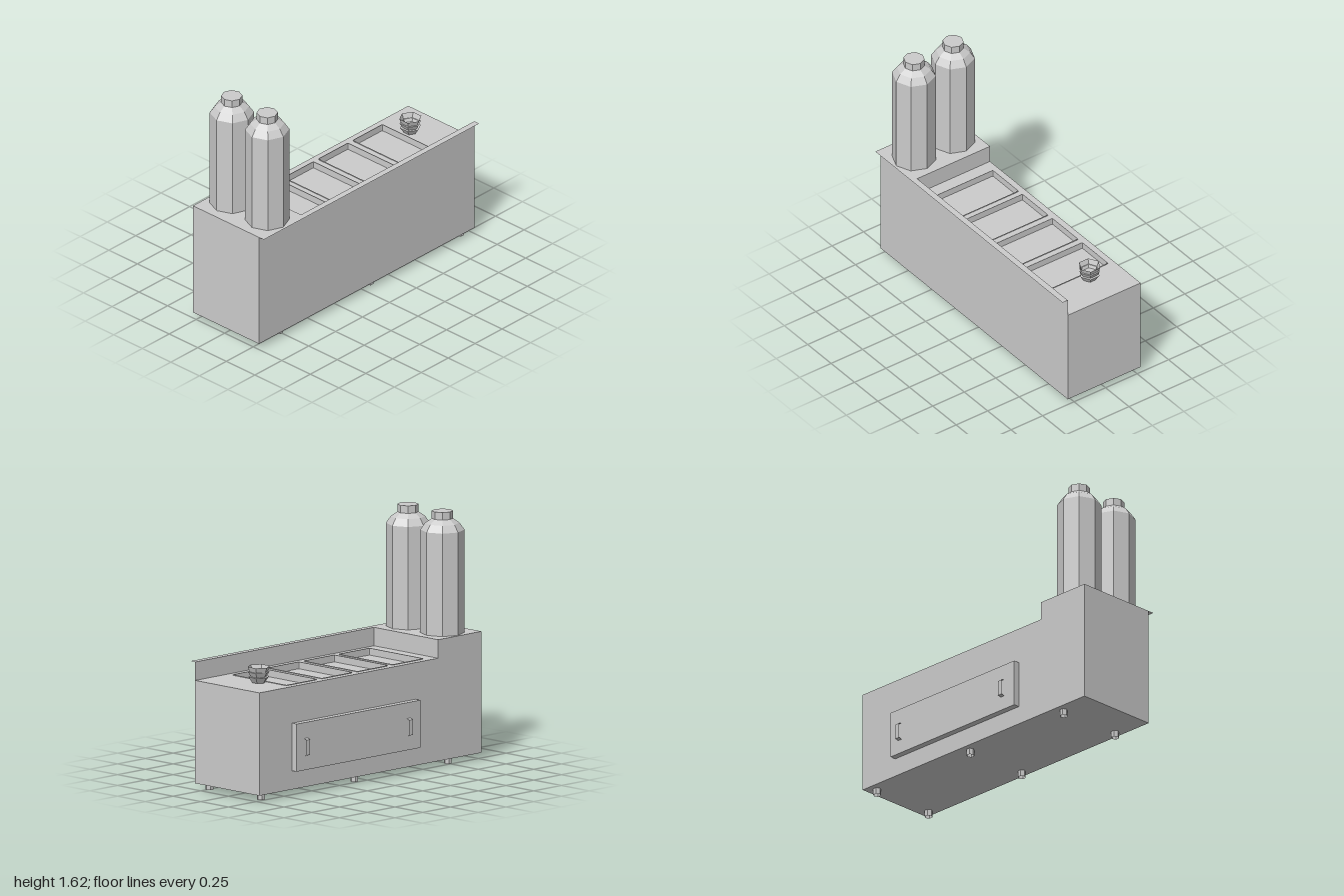
import * as THREE from 'three';

const solid = new THREE.MeshStandardMaterial({ color: 0xcccccc, flatShading: true });
const thin = new THREE.MeshStandardMaterial({ color: 0xcccccc, flatShading: true, side: THREE.DoubleSide });

const BACK = -0.278, FRONT = 0.3, DECK = 0.71, TOP = 0.83, FLOOR = 0.67;

function add(parent, name, geometry, material = solid, x = 0, y = 0, z = 0) {
  const mesh = new THREE.Mesh(geometry, material);
  mesh.name = name;
  mesh.position.set(x, y, z);
  parent.add(mesh);
  return mesh;
}

// Box given by its limits on each axis
function block(parent, name, x0, x1, y0, y1, z0, z1) {
  return add(parent, name, new THREE.BoxGeometry(x1 - x0, y1 - y0, z1 - z0), solid,
    (x0 + x1) / 2, (y0 + y1) / 2, (z0 + z1) / 2);
}

// Rectangle in plan with slightly rounded corners (shape y is -z)
function planRect(path, x0, x1, z0, z1, r) {
  const b = -z1, t = -z0;
  path.moveTo(x0 + r, b).lineTo(x1 - r, b).quadraticCurveTo(x1, b, x1, b + r)
    .lineTo(x1, t - r).quadraticCurveTo(x1, t, x1 - r, t)
    .lineTo(x0 + r, t).quadraticCurveTo(x0, t, x0, t - r)
    .lineTo(x0, b + r).quadraticCurveTo(x0, b, x0 + r, b);
  return path;
}

function extrudeUp(shape, height) {
  return new THREE.ExtrudeGeometry(shape, { depth: height, bevelEnabled: false, curveSegments: 2 })
    .rotateX(-Math.PI / 2);
}

const lathe = (points, sides) =>
  new THREE.LatheGeometry(points.map(([r, y]) => new THREE.Vector2(r, y)), sides);

export function createModel() {
  const model = new THREE.Group();
  model.name = 'servingCounter';

  // Cabinet and raised end platform
  block(model, 'cabinet', -1, 1, 0.042, FLOOR, BACK, FRONT);
  block(model, 'platform', -1, -0.61, DECK, TOP, BACK, FRONT);

  // Deck with four pan openings
  const deck = new THREE.Shape([[-1, -FRONT], [1, -FRONT], [1, -BACK], [-1, -BACK]]
    .map(([x, y]) => new THREE.Vector2(x, y)));
  for (const x0 of [-0.52, -0.204, 0.116, 0.436]) {
    const x1 = x0 + 0.277;
    deck.holes.push(planRect(new THREE.Path(), x0, x1, -0.235, 0.251, 0.01));
    // Pan liner, its rim just above the deck
    const liner = planRect(new THREE.Shape(), x0, x1, -0.235, 0.251, 0.01);
    liner.holes.push(planRect(new THREE.Path(), x0 + 0.003, x1 - 0.003, -0.232, 0.248, 0.008));
    add(model, 'panLiner', extrudeUp(liner, 0.045), solid, 0, FLOOR, 0);
  }
  add(model, 'deck', extrudeUp(deck, DECK - FLOOR), solid, 0, FLOOR, 0);

  // Thin front guard and the ledge along its top
  add(model, 'frontGuard', new THREE.PlaneGeometry(1.61, TOP - DECK), thin, 0.195, (TOP + DECK) / 2, FRONT);
  add(model, 'frontLedge', new THREE.PlaneGeometry(2, 0.042).rotateX(-Math.PI / 2), thin, 0, TOP, FRONT + 0.021);

  // Two octagonal bottles with caps
  for (const z of [-0.126, 0.184]) {
    const bottle = new THREE.Group();
    bottle.name = 'bottle';
    bottle.position.set(-0.8, TOP, z);
    add(bottle, 'bottleBody', lathe([[0, 0], [0.141, 0], [0.141, 0.668], [0.11, 0.713], [0.068, 0.742], [0, 0.742]], 8));
    add(bottle, 'bottleCap', new THREE.CylinderGeometry(0.068, 0.068, 0.05, 8), solid, 0, 0.766, 0);
    model.add(bottle);
  }

  // Stack of hexagonal cups
  const cups = new THREE.Group();
  cups.name = 'cupStack';
  cups.position.set(0.77, DECK, -0.043);
  add(cups, 'lowerCups', lathe([[0, 0.003], [0.042, 0.003], [0.069, 0.042], [0.052, 0.042],
    [0.071, 0.074], [0.054, 0.074]], 6), thin);
  add(cups, 'topCup', lathe([[0, 0.05], [0.05, 0.05], [0.073, 0.108]], 6), thin);
  model.add(cups);

  // Rear door panel
  block(model, 'rearPanel', -0.409, 0.706, 0.163, 0.472, -0.32, BACK);

  // Pull handles bent from a thin strip
  for (const x of [-0.302, 0.623]) {
    const profile = [[0.255, -0.32], [0.262, -0.342], [0.362, -0.342], [0.369, -0.32]];
    const strip = new THREE.PlaneGeometry(0.032, 1, 1, 3);
    const p = strip.attributes.position;
    for (let i = 0; i < p.count; i++) {
      const [y, z] = profile[Math.floor(i / 2)];
      p.setY(i, y);
      p.setZ(i, z);
    }
    strip.computeVertexNormals();
    add(model, 'handle', strip, thin, x);
  }

  // Six short hexagonal feet
  for (const x of [-0.755, 0.087, 0.928])
    for (const z of [-0.22, 0.243])
      add(model, 'foot', new THREE.CylinderGeometry(0.026, 0.026, 0.042, 6, 1, true).rotateY(Math.PI / 2), thin, x, 0.021, z);

  return model;
}
